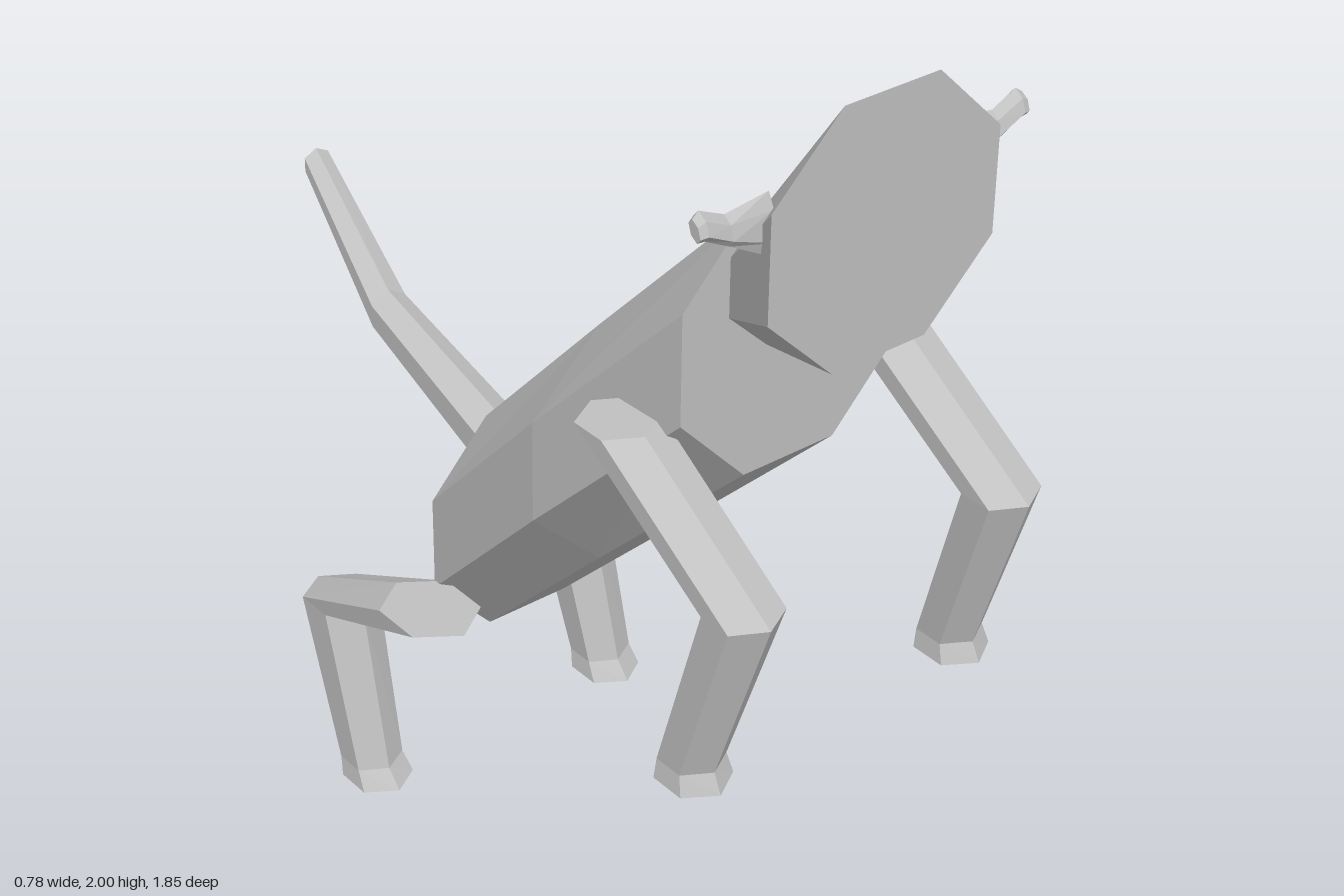
import * as THREE from 'three';

const grey = new THREE.MeshStandardMaterial({ color: 0xc0c0c0, flatShading: true });
grey.name = 'grey';

// Regular ring of n corners around c, spanned by half-extent vectors u and v
function ring(n, phase, c, u, v) {
  return Array.from({ length: n }, (_, i) => {
    const a = phase + (i / n) * Math.PI * 2;
    return new THREE.Vector3(...c)
      .addScaledVector(new THREE.Vector3(...u), Math.cos(a))
      .addScaledVector(new THREE.Vector3(...v), Math.sin(a));
  });
}

// Closed, flat-faced loft through rings; the winding follows its signed volume
function loft(name, rings) {
  const tris = [];
  const n = rings[0].length;
  for (let r = 0; r < rings.length - 1; r++) {
    for (let i = 0; i < n; i++) {
      const j = (i + 1) % n;
      const a = rings[r][i], b = rings[r][j], c = rings[r + 1][j], d = rings[r + 1][i];
      tris.push([a, b, c], [a, c, d]);
    }
  }
  const first = rings[0], last = rings[rings.length - 1];
  for (let i = 1; i < n - 1; i++) {
    tris.push([first[0], first[i + 1], first[i]], [last[0], last[i], last[i + 1]]);
  }
  const o = first[0];
  const volume = tris.reduce((s, [a, b, c]) =>
    s + a.clone().sub(o).dot(b.clone().sub(o).cross(c.clone().sub(o))), 0);
  const points = tris.flatMap(([a, b, c]) => (volume < 0 ? [a, c, b] : [a, b, c]));
  const geometry = new THREE.BufferGeometry().setFromPoints(points);
  geometry.computeVertexNormals();
  const mesh = new THREE.Mesh(geometry, grey);
  mesh.name = name;
  return mesh;
}

// Upright octagon at z: half width, bottom and top height
function octagon([z, halfWidth, low, high]) {
  const k = 1 / Math.cos(Math.PI / 8);
  return ring(8, Math.PI / 8, [0, (low + high) / 2, z],
    [halfWidth * k, 0, 0], [0, ((high - low) / 2) * k, 0]);
}

// Level hexagon with its points along z: y, inner x, outer x, back z, front z
function legRing(side, [y, x0, x1, z0, z1]) {
  const k = 1 / Math.cos(Math.PI / 6);
  return ring(6, 0, [side * (x0 + x1) / 2, y, (z0 + z1) / 2],
    [0, 0, (z1 - z0) / 2], [((x1 - x0) / 2) * k, 0, 0]);
}

export function createModel() {
  const model = new THREE.Group();
  model.name = 'animal';

  // Slanted body with upright ends
  model.add(loft('body', [
    [0.61, 0.26, 1.165, 1.72],
    [0.2, 0.277, 0.76, 1.295],
    [-0.19, 0.237, 0.375, 0.89],
  ].map(octagon)));

  // Head widening toward the flat face
  model.add(loft('head', [
    [0.83, 0.26, 1.485, 2.0],
    [0.61, 0.153, 1.425, 1.72],
  ].map(octagon)));

  // Bent tail: z, middle height, half height, half width
  model.add(loft('tail', [
    [-0.19, 0.717, 0.067, 0.06],
    [-0.67, 0.88, 0.05, 0.043],
    [-0.925, 1.135, 0.031, 0.03],
  ].map(([z, y, h, w]) => ring(6, 0, [0, y, z], [0, h, 0], [w / Math.cos(Math.PI / 6), 0, 0]))));

  const frontLeg = [
    [1.31, 0.242, 0.38, 0.42, 0.575],
    [1.087, 0.245, 0.38, 0.78, 0.925],
    [0.705, 0.268, 0.38, 0.67, 0.8],
    [0.665, 0.262, 0.388, 0.665, 0.82],
  ];
  const hindLeg = [
    [0.545, 0.22, 0.39, -0.23, 0.005],
    [0.398, 0.238, 0.375, -0.525, -0.355],
    [0.04, 0.257, 0.372, -0.4, -0.27],
    [0, 0.25, 0.378, -0.395, -0.235],
  ];
  // Ear sections: x, middle height, half height, half depth
  const ear = [
    [0.21, 1.79, 0.06, 0.013],
    [0.305, 1.81, 0.027, 0.016],
    [0.36, 1.837, 0.025, 0.018],
    [0.375, 1.832, 0.02, 0.014],
  ];

  // Paired parts
  for (const [side, label] of [[1, 'left'], [-1, 'right']]) {
    model.add(loft(label + 'FrontLeg', frontLeg.map((s) => legRing(side, s))));
    model.add(loft(label + 'HindLeg', hindLeg.map((s) => legRing(side, s))));
    model.add(loft(label + 'Ear', ear.map(([x, y, h, d]) =>
      ring(6, 0, [side * x, y, 0.772], [0, h, -d * 0.5], [0, 0, d]))));
  }
  return model;
}
